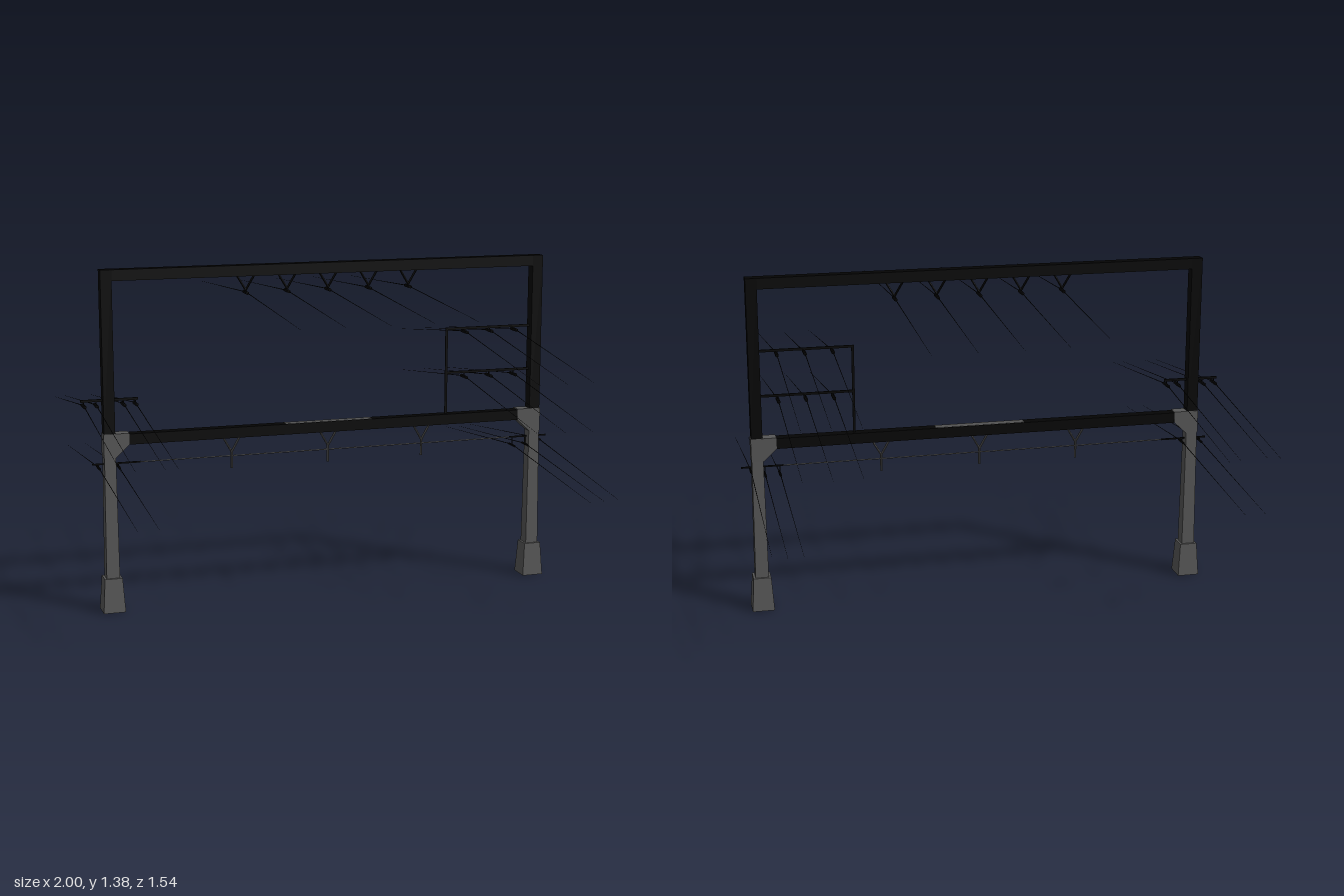
import * as THREE from 'three';

const material = (name, color) => {
  const m = new THREE.MeshStandardMaterial({ color, flatShading: true });
  m.name = name;
  return m;
};

export function createModel() {
  const root = new THREE.Group();
  root.name = 'cableGantry';
  const steel = material('blackSteel', 0x040404);
  const concrete = material('concrete', 0x575757);
  const grey = material('greySteel', 0x525252);
  const LEFT = 0.935, RIGHT = -0.891, MID = 0.021;

  const add = (geometry, mat, name, parent = root) => {
    const mesh = new THREE.Mesh(geometry, mat);
    mesh.name = name;
    parent.add(mesh);
    return mesh;
  };
  // Box given by its limits in x and y, and half its depth
  const box = (x0, x1, y0, y1, halfZ, mat, name, parent) => {
    const mesh = add(new THREE.BoxGeometry(x1 - x0, y1 - y0, halfZ * 2), mat, name, parent);
    mesh.position.set((x0 + x1) / 2, (y0 + y1) / 2, 0);
    return mesh;
  };
  // Square tapered block
  const taper = (x, y0, y1, half0, half1, mat, name, parent) => {
    const g = new THREE.CylinderGeometry(half1 * Math.SQRT2, half0 * Math.SQRT2, y1 - y0, 4);
    g.rotateY(Math.PI / 4);
    g.translate(x, (y0 + y1) / 2, 0);
    return add(g, mat, name, parent);
  };
  // Round bar between two points
  const rod = (a, b, r0, r1, mat, name, parent, sides = 6) => {
    const from = new THREE.Vector3(...a), to = new THREE.Vector3(...b);
    const dir = to.clone().sub(from);
    const mesh = add(new THREE.CylinderGeometry(r1, r0, dir.length(), sides), mat, name, parent);
    mesh.position.copy(from).add(to).multiplyScalar(0.5);
    mesh.quaternion.setFromUnitVectors(new THREE.Vector3(0, 1, 0), dir.normalize());
    return mesh;
  };

  // Concrete pillars with a plinth and an inward bracket
  for (const [x, inward, name] of [[RIGHT, 1, 'rightPillar'], [LEFT, -1, 'leftPillar']]) {
    const pillar = new THREE.Group();
    pillar.name = name;
    root.add(pillar);
    taper(x, 0, 0.14, 0.045, 0.036, concrete, 'plinth', pillar);
    taper(x, 0.14, 0.70, 0.027, 0.0225, concrete, 'shaft', pillar);
    const points = [[-0.025, 0.635], [0.025, 0.635], [0.078, 0.685], [0.078, 0.731], [-0.025, 0.731]]
      .map(([dx, y]) => new THREE.Vector2(x + inward * dx, y));
    const bracket = new THREE.ExtrudeGeometry(new THREE.Shape(points), { depth: 0.05, bevelEnabled: false });
    bracket.translate(0, 0, -0.025);
    add(bracket, concrete, 'bracket', pillar);
    box(x - 0.0225, x + 0.0225, 0.728, 1.382, 0.0225, steel, 'upperPost', pillar);
  }

  // Horizontal beams
  box(RIGHT, LEFT, 1.338, 1.382, 0.0224, steel, 'topBeam');
  box(RIGHT, LEFT, 0.684, 0.727, 0.0224, steel, 'lowerBeam');
  box(MID - 0.185, MID + 0.185, 0.726, 0.728, 0.018, grey, 'beamPlate');

  // Side rack on the left, made of thin flat bars
  const rack = new THREE.Group();
  rack.name = 'sideRack';
  root.add(rack);
  box(0.534, 0.544, 0.727, 1.09, 0.0025, steel, 'rackPost', rack);
  for (const y of [0.9, 1.085]) box(0.534, 0.915, y - 0.005, y + 0.005, 0.0025, steel, 'rackShelf', rack);

  // Outrigger arm on the right
  box(-1, -0.77, 0.86, 0.87, 0.0025, steel, 'outriggerArm');

  // Tie line below the lower beam, with arms at both pillars
  rod([-0.96, 0.607, 0], [1, 0.607, 0], 0.0025, 0.0025, grey, 'tieLine');
  box(-0.96, -0.765, 0.604, 0.61, 0.0026, steel, 'rightTieArm');
  box(0.83, 1, 0.604, 0.61, 0.0026, steel, 'leftTieArm');

  // V-shaped hangers
  const hanger = (x, top, bottom, mat) => {
    for (const s of [-1, 1]) rod([x + s * 0.037, top, 0], [x, bottom, 0], 0.0045, 0.0045, mat, 'hangerStrut');
  };
  for (const x of [-0.389, MID, 0.431]) {
    hanger(x, 0.688, 0.623, grey);
    rod([x, 0.632, 0], [x, 0.555, 0], 0.005, 0.005, grey, 'hangerStem');
  }

  // Wire with its drop rod, clamp and two sagging, tapering spans
  const wire = (x, y, mount, drop, clampRadius = 0.007) => {
    const group = new THREE.Group();
    group.name = 'wire';
    root.add(group);
    rod([x, mount, 0], [x, y, 0], 0.0025, 0.0025, steel, 'dropRod', group);
    rod([x, y, -0.03], [x, y, 0.03], clampRadius, clampRadius, steel, 'clamp', group);
    for (const s of [-1, 1]) {
      rod([x, y, s * 0.025], [x, y - drop, s * 0.77], 0.0018, 0.0004, steel, 'span', group, 5);
    }
  };
  for (const x of [-0.324, -0.152, MID, 0.194, 0.366]) {
    hanger(x, 1.342, 1.28, steel);
    wire(x, 1.271, 1.284, 0.043);
  }
  for (const x of [0.62, 0.732, 0.843]) {
    wire(x, 1.07, 1.085, 0.097);
    wire(x, 0.88, 0.9, 0.097);
  }
  for (const x of [-0.988, -0.938, -0.829, -0.781]) wire(x, 0.845, 0.865, 0.098);
  // Wires on the tie arms
  for (const x of [-0.935, -0.855]) wire(x, 0.593, 0.607, 0.065, 0.005);
  wire(0.962, 0.593, 0.607, 0.088, 0.005);
  for (const x of [0.905, 0.845]) wire(x, 0.572, 0.607, 0.072, 0.005);

  return root;
}
